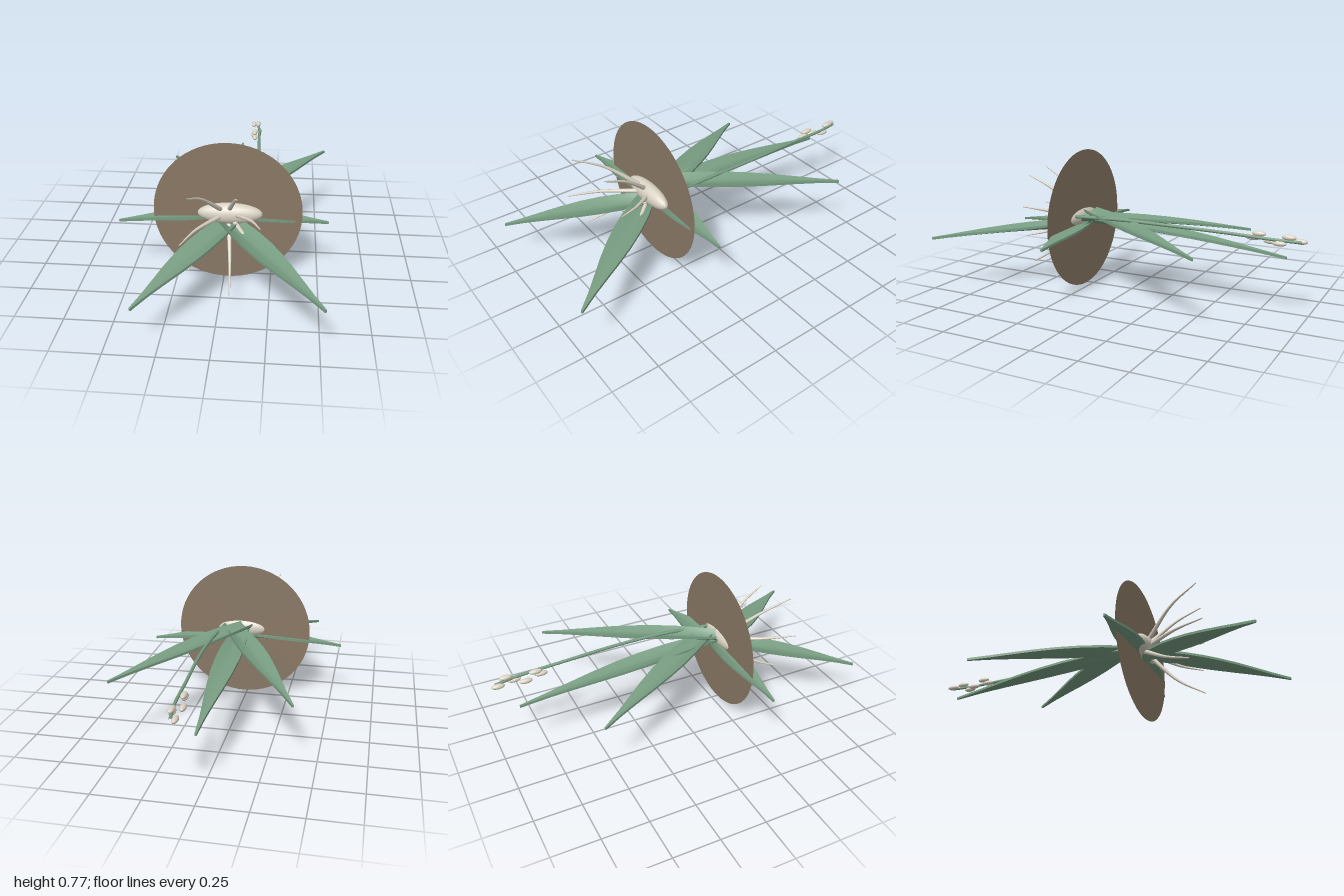
import * as THREE from 'three';
import { toCreasedNormals } from 'three/addons/utils/BufferGeometryUtils.js';

const V = (p) => new THREE.Vector3(...p);

export function createModel() {
  const group = new THREE.Group();
  const leafGreen = new THREE.MeshStandardMaterial({ color: 0x789d82 });
  leafGreen.name = 'leafGreen';
  const paleCream = new THREE.MeshStandardMaterial({ color: 0xdad3c4 });
  paleCream.name = 'paleCream';
  const barkBrown = new THREE.MeshStandardMaterial({ color: 0x897865, side: THREE.DoubleSide });
  barkBrown.name = 'barkBrown';

  const add = (name, geometry, material, parent = group) => {
    const mesh = new THREE.Mesh(geometry, material);
    mesh.name = name;
    parent.add(mesh);
    return mesh;
  };

  // Round mounting plate, upright and paper thin
  add('mountPlate', new THREE.CircleGeometry(0.387, 64), barkBrown).position.set(0.02, 0.387, 0.289);

  // Oval bulb pushed through the plate
  const bulb = add('bulb', new THREE.SphereGeometry(1, 32, 20), paleCream);
  bulb.scale.set(0.168, 0.056, 0.048);
  bulb.position.set(0.035, 0.397, 0.317);

  // Tube that narrows along its path
  function taperedTube(curve, segments, sides, r0, r1) {
    const geo = new THREE.TubeGeometry(curve, segments, 1, sides, false);
    const pos = geo.attributes.position;
    const v = new THREE.Vector3();
    for (let i = 0; i <= segments; i++) {
      const c = curve.getPointAt(i / segments);
      const r = THREE.MathUtils.lerp(r0, r1, i / segments);
      for (let j = 0; j <= sides; j++) {
        const k = i * (sides + 1) + j;
        v.fromBufferAttribute(pos, k).sub(c).multiplyScalar(r).add(c);
        pos.setXYZ(k, v.x, v.y, v.z);
      }
    }
    return geo;
  }

  // Roots reaching forward: base, tip
  const roots = new THREE.Group();
  roots.name = 'roots';
  group.add(roots);
  [
    [[-0.01, 0.43, 0.34], [-0.14, 0.638, 0.655]],
    [[0.035, 0.435, 0.34], [0.096, 0.618, 0.61]],
    [[0.07, 0.405, 0.35], [0.203, 0.455, 0.585]],
    [[-0.015, 0.393, 0.35], [-0.175, 0.407, 0.685]],
    [[-0.03, 0.35, 0.33], [-0.15, 0.214, 0.595]],
    [[0.055, 0.367, 0.34], [0.187, 0.285, 0.58]],
    [[0.03, 0.35, 0.33], [0.057, 0.097, 0.618]],
  ].forEach(([a, b]) => {
    const base = V(a), tip = V(b);
    const spread = tip.clone().sub(base).setZ(0);
    const mid = base.clone().lerp(tip, 0.5).addScaledVector(spread, 0.13);
    const curve = new THREE.CatmullRomCurve3([base, mid, tip]);
    add('root', taperedTube(curve, 14, 8, 0.013, 0.003), paleCream, roots);
  });

  // Strap leaf: a thick, creased blade swept along a curve to a narrow tip
  const widths = [0.65, 0.84, 0.98, 1, 0.91, 0.72, 0.47, 0.23, 0.07];
  function leafGeometry(curve, halfWidth) {
    const rows = 24, cols = 8, ring = 2 * (cols + 1), thick = 0.013;
    const verts = [], index = [];
    const side = curve.v2.clone().sub(curve.v0).setY(0).normalize();
    side.set(side.z, 0, -side.x);
    const quad = (a, b, c, d) => index.push(a, b, c, a, c, d);
    for (let i = 0; i <= rows; i++) {
      const t = i / rows;
      const f = Math.min(t * (widths.length - 1), widths.length - 1.001);
      const w = halfWidth * THREE.MathUtils.lerp(widths[Math.floor(f)], widths[Math.floor(f) + 1], f % 1);
      const depth = w * (0.22 + 0.5 * (1 - t) ** 4);
      const c = curve.getPoint(t);
      // upper face from edge to edge, then the lower face back again
      for (let j = 0; j < ring; j++) {
        const upper = j <= cols;
        const s = ((upper ? j : ring - 1 - j) / cols) * 2 - 1;
        const p = c.clone().addScaledVector(side, s * w);
        const y = p.y + depth * (Math.abs(s) ** 1.4 - 0.5) + (upper ? 0.5 : -0.5) * thick;
        verts.push(p.x, y, p.z);
        if (i < rows) {
          const k = i * ring + j, k1 = i * ring + ((j + 1) % ring);
          quad(k, k + ring, k1 + ring, k1);
        }
      }
    }
    // blunt ends
    const last = rows * ring;
    for (let j = 0; j < cols; j++) {
      const under = ring - 1 - j;
      quad(j, j + 1, under - 1, under);
      quad(last + j, last + under, last + under - 1, last + j + 1);
    }
    const geo = new THREE.BufferGeometry();
    geo.setAttribute('position', new THREE.Float32BufferAttribute(verts, 3));
    geo.setIndex(index);
    return toCreasedNormals(geo, 0.7);
  }

  // Leaves: base, tip, arch height, half width
  const leaves = new THREE.Group();
  leaves.name = 'leaves';
  group.add(leaves);
  [
    ['backLeaf', [0.03, 0.385, 0.27], [0.02, 0.295, -0.88], 0.035, 0.066],
    ['backLeftLeaf', [0.0, 0.42, 0.27], [0.542, 0.38, -0.585], 0.02, 0.066],
    ['backRightLeaf', [0.09, 0.403, 0.27], [-0.378, 0.323, -0.562], 0.03, 0.066],
    ['leftLeaf', [0.0, 0.365, 0.272], [0.545, 0.322, 0.237], 0.015, 0.066],
    ['rightLeaf', [0.07, 0.372, 0.275], [-0.55, 0.322, 0.305], 0.02, 0.063],
    ['frontLeftLeaf', [0.0, 0.348, 0.29], [0.508, 0.292, 0.99], 0.02, 0.07],
    ['frontRightLeaf', [0.06, 0.35, 0.29], [-0.36, 0.237, 0.975], 0.03, 0.07],
  ].forEach(([name, a, b, arch, w]) => {
    const base = V(a), tip = V(b);
    const mid = base.clone().lerp(tip, 0.5);
    mid.y += arch;
    add(name, leafGeometry(new THREE.QuadraticBezierCurve3(base, mid, tip), w), leafGreen, leaves);
  });

  // Flower stalk running backwards
  const stalk = new THREE.CatmullRomCurve3([
    [0.135, 0.415, 0.28], [0.15, 0.428, 0], [0.153, 0.428, -0.25],
    [0.138, 0.42, -0.6], [0.128, 0.41, -0.85], [0.108, 0.405, -0.975],
  ].map(V));
  add('flowerStalk', taperedTube(stalk, 40, 8, 0.01, 0.008), leafGreen);

  // Buds along the end of the stalk
  const buds = new THREE.Group();
  buds.name = 'buds';
  group.add(buds);
  [
    [0.107, 0.405, -0.728], [0.103, 0.427, -0.758], [0.093, 0.392, -0.815],
    [0.128, 0.394, -0.868], [0.118, 0.427, -0.913], [0.088, 0.405, -0.963],
  ].forEach((p) => {
    const bud = add('bud', new THREE.SphereGeometry(1, 16, 12), paleCream, buds);
    bud.scale.set(0.016, 0.014, 0.036);
    bud.position.set(...p);
  });

  return group;
}
